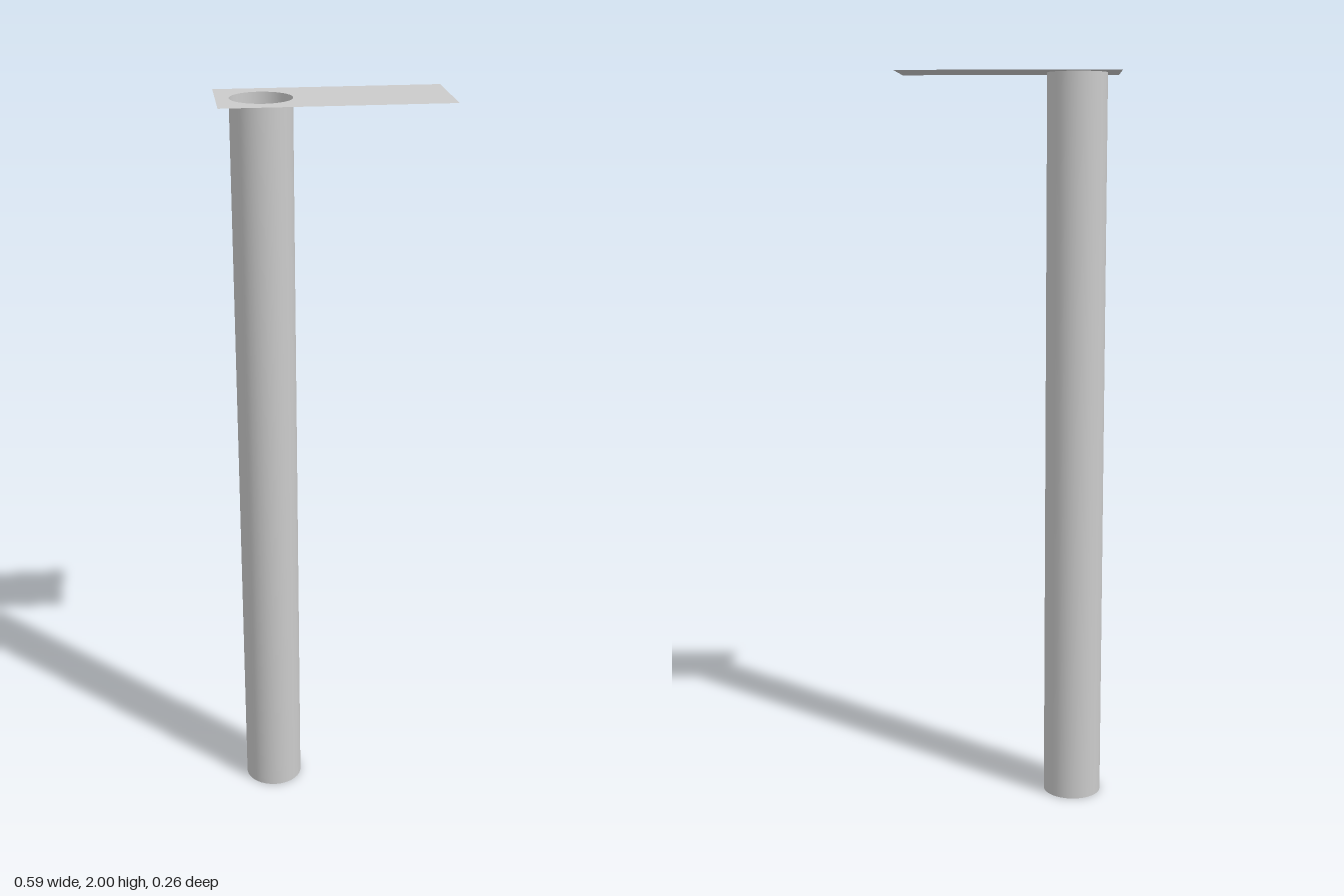
import * as THREE from 'three';

const HEIGHT = 2, RADIUS = 0.08, TUBE_X = -0.18;
const HALF_WIDTH = 0.294, HALF_DEPTH = 0.128;

export function createModel() {
  const model = new THREE.Group();
  const material = new THREE.MeshStandardMaterial({ color: 0xcccccc, side: THREE.DoubleSide });

  // Hollow upright tube, open at both ends
  const tube = new THREE.Mesh(
    new THREE.CylinderGeometry(RADIUS, RADIUS, HEIGHT, 32, 1, true), material);
  tube.name = 'tube';
  tube.position.set(TUBE_X, HEIGHT / 2, 0);
  model.add(tube);

  // Thin flat top plate with a round opening over the tube
  const outline = new THREE.Shape([
    new THREE.Vector2(-HALF_WIDTH, -HALF_DEPTH),
    new THREE.Vector2(HALF_WIDTH, -HALF_DEPTH),
    new THREE.Vector2(HALF_WIDTH, HALF_DEPTH),
    new THREE.Vector2(-HALF_WIDTH, HALF_DEPTH),
  ]);
  outline.holes.push(new THREE.Path().absarc(TUBE_X, 0, RADIUS, 0, Math.PI * 2, true));
  const plate = new THREE.Mesh(
    new THREE.ShapeGeometry(outline, 16).rotateX(-Math.PI / 2), material);
  plate.name = 'topPlate';
  plate.position.y = HEIGHT;
  model.add(plate);

  return model;
}
